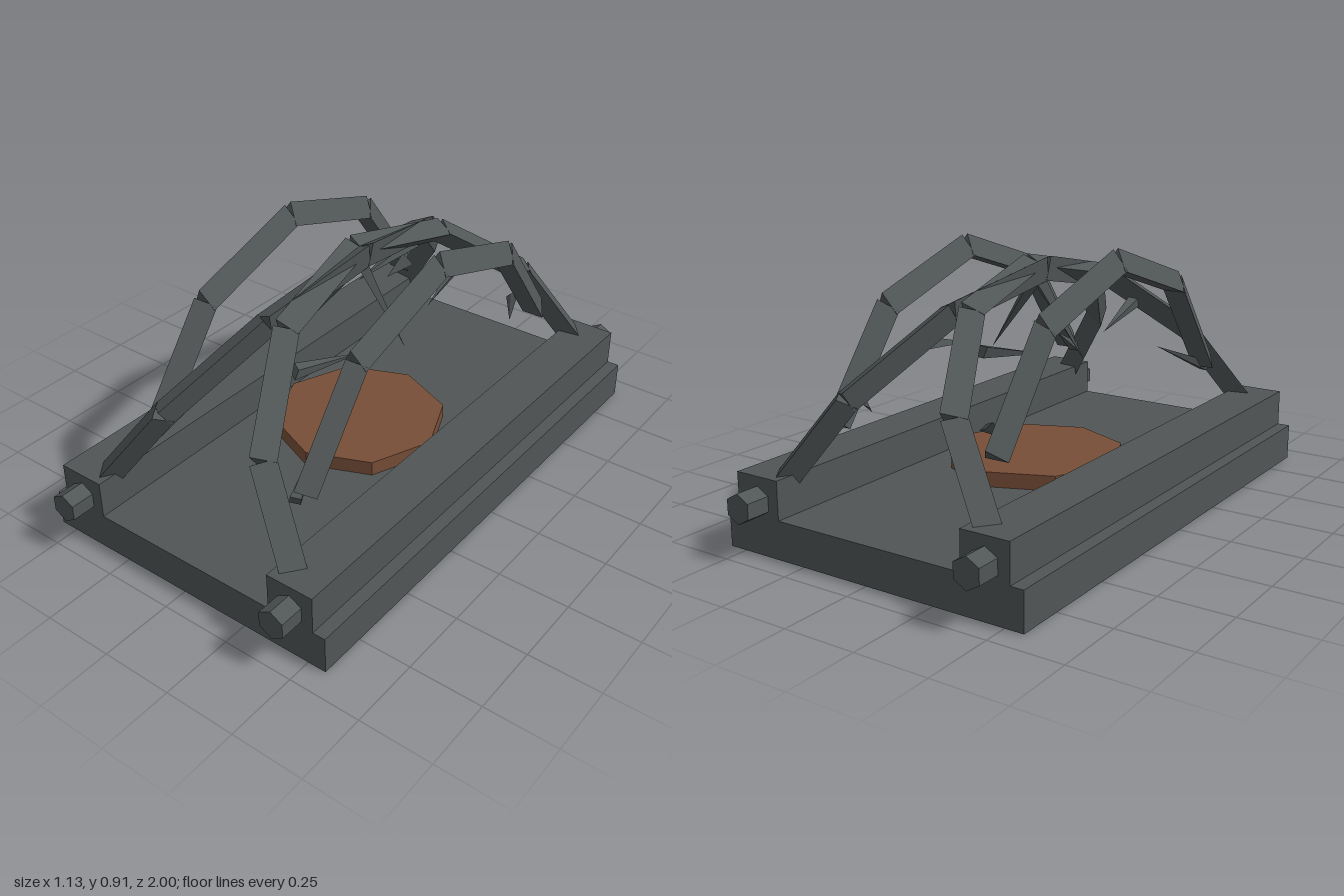
import * as THREE from 'three';

const iron = new THREE.MeshStandardMaterial({ color: 0x505555, flatShading: true });
iron.name = 'dark iron';
const rust = new THREE.MeshStandardMaterial({ color: 0x774e38, flatShading: true });
rust.name = 'rusty brown';

function add(parent, name, geometry, material, x = 0, y = 0, z = 0) {
  const mesh = new THREE.Mesh(geometry, material);
  mesh.name = name;
  mesh.position.set(x, y, z);
  parent.add(mesh);
  return mesh;
}

// Places a y-axis solid between two points of the yz plane, its local +z facing away from the centre
function span(parent, name, geometry, from, to) {
  const dir = to.clone().sub(from).normalize();
  const mid = from.clone().add(to).multiplyScalar(0.5);
  const out = mid.clone().addScaledVector(dir, -mid.dot(dir)).normalize();
  const side = dir.clone().cross(out);
  const mesh = add(parent, name, geometry, iron, mid.x, mid.y, mid.z);
  if (out.lengthSq() > 0.5) {
    mesh.quaternion.setFromRotationMatrix(new THREE.Matrix4().makeBasis(side, dir, out));
  } else {
    mesh.quaternion.setFromUnitVectors(new THREE.Vector3(0, 1, 0), dir);
  }
}

// Chain of triangular bars with the ridge on the outside
function arch(name, points) {
  const group = new THREE.Group();
  group.name = name;
  for (let i = 0; i < points.length - 1; i++) {
    const length = points[i].distanceTo(points[i + 1]);
    span(group, 'archBar', new THREE.CylinderGeometry(0.049, 0.049, length, 3), points[i], points[i + 1]);
  }
  return group;
}

export function createModel() {
  const model = new THREE.Group();
  model.name = 'jawTrap';

  // Base slab and trigger plate
  add(model, 'base', new THREE.BoxGeometry(1.13, 0.13, 1.83), iron, 0, 0.065, 0);
  add(model, 'triggerPlate', new THREE.CylinderGeometry(0.305, 0.305, 0.052, 8), rust, 0, 0.156, 0);

  const jawPoints = [];
  for (let i = 0; i <= 6; i++) {
    const a = (i * 30 - 90) * Math.PI / 180;
    jawPoints.push(new THREE.Vector3(0, 0.795 * Math.cos(a), 0.868 * Math.sin(a)));
  }
  const hoopPoints = [[-0.69, 0.395], [-0.435, 0.73], [0, 0.868], [0.435, 0.73], [0.69, 0.395]]
    .map(([z, y]) => new THREE.Vector3(0, y, z));

  for (const s of [-1, 1]) {
    const side = s > 0 ? 'left' : 'right';
    // Rail with a hexagonal hinge rod through it
    add(model, side + 'Rail', new THREE.BoxGeometry(0.17, 0.13, 1.83), iron, s * 0.435, 0.195, 0);
    add(model, side + 'HingeRod', new THREE.CylinderGeometry(0.051, 0.051, 2, 6).rotateX(Math.PI / 2),
      iron, s * 0.435, 0.177, 0);

    // Jaw leaning inward about the rod, with teeth at the joints
    const jaw = arch(side + 'Jaw', jawPoints);
    for (const p of jawPoints.slice(1, 6)) {
      const tip = p.clone().addScaledVector(p.clone().normalize(), -0.37);
      span(jaw, 'tooth', new THREE.ConeGeometry(0.03, 0.37, 4), p, tip);
    }
    jaw.position.set(s * 0.435, 0.177, 0);
    jaw.rotation.z = s * 35 * Math.PI / 180;
    model.add(jaw);

    // Upright hoop
    const hoop = arch(side + 'Hoop', hoopPoints);
    hoop.position.x = s * 0.305;
    model.add(hoop);
  }
  return model;
}
